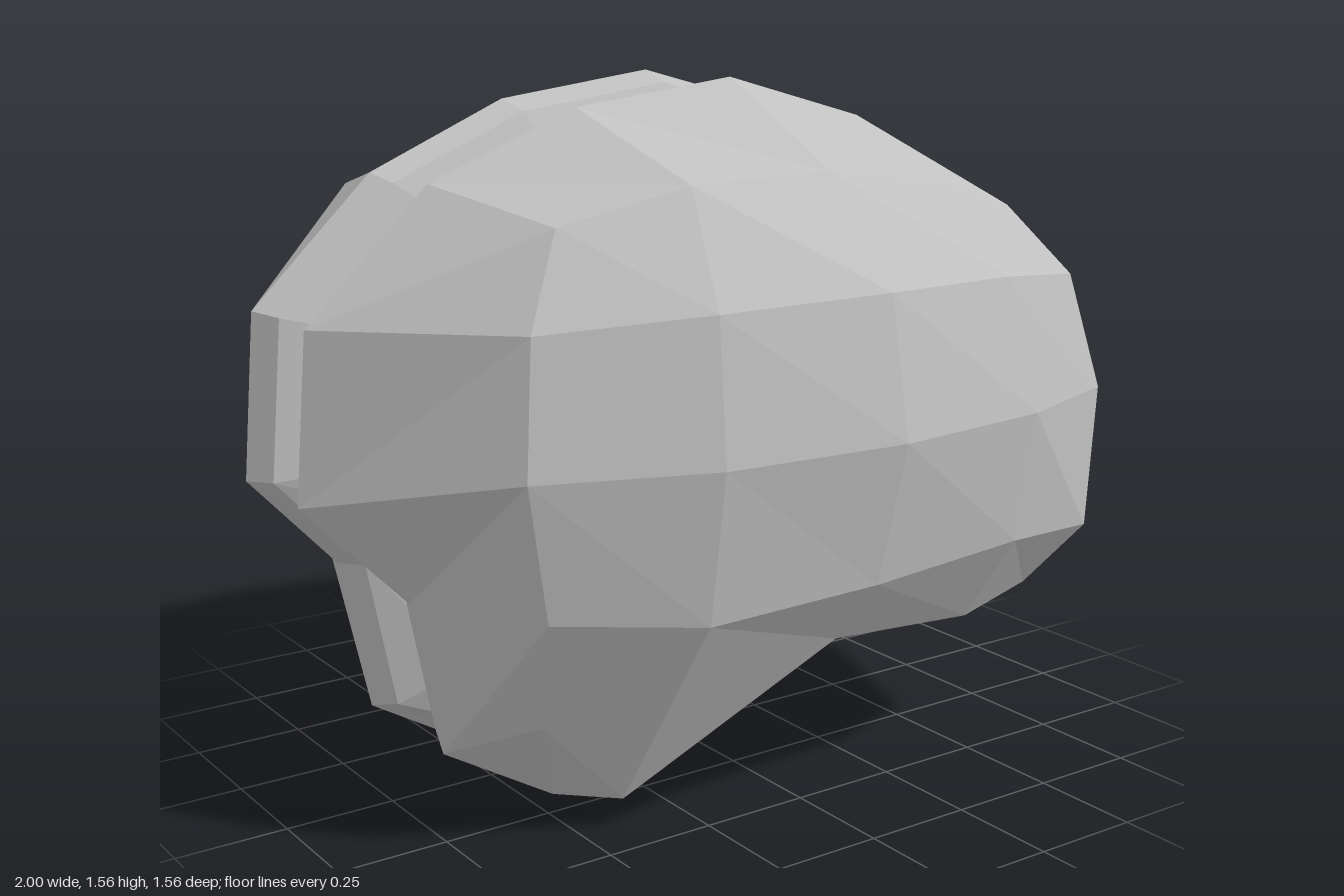
import * as THREE from 'three';

// Outer side of one hemisphere: five rows from top to bottom, five columns along x
const ROWS = [
  [[-0.59, 1.31, 0.46], [-0.32, 1.38, 0.53], [0.04, 1.385, 0.52], [0.41, 1.34, 0.46], [0.66, 1.26, 0.40]],
  [[-0.69, 1.12, 0.53], [-0.36, 1.15, 0.68], [0.04, 1.16, 0.72], [0.42, 1.15, 0.66], [0.74, 1.11, 0.53]],
  [[-0.72, 0.84, 0.56], [-0.37, 0.85, 0.72], [0.04, 0.86, 0.78], [0.45, 0.86, 0.73], [0.79, 0.85, 0.585]],
  [[-0.66, 0.54, 0.53], [-0.37, 0.52, 0.67], [0.02, 0.55, 0.72], [0.43, 0.57, 0.70], [0.75, 0.53, 0.60]],
  [[-0.60, 0.27, 0.40], [-0.41, 0.07, 0.41], [0.01, 0.40, 0.60], [0.42, 0.36, 0.56], [0.66, 0.38, 0.50]],
];

// Crest of the hemisphere, clockwise from the upper left corner
const CREST = [
  [-0.69, 1.37, 0.13], [-0.35, 1.51, 0.155], [0.04, 1.56, 0.165], [0.41, 1.46, 0.155],
  [0.71, 1.31, 0.15], [0.92, 1.12, 0.16], [1.0, 0.85, 0.19], [0.90, 0.56, 0.24],
  [0.74, 0.33, 0.17], [0.52, 0.22, 0.17], [0.06, 0.31, 0.17], [-0.44, 0.0, 0.17],
  [-0.71, 0.16, 0.17], [-0.78, 0.51, 0.17], [-1.0, 0.74, 0.13], [-0.97, 1.10, 0.13],
];

const CENTRE_Y = 0.85;
const shrink = (ring, s, zs) =>
  ring.map(([x, y, z]) => [x * s, CENTRE_Y + (y - CENTRE_Y) * s, z * zs]);

// Border of the row grid, in the same order as the crest
function gridBorder() {
  const right = [1, 2, 3].map((r) => ROWS[r][4]);
  const left = [3, 2, 1].map((r) => ROWS[r][0]);
  return [...ROWS[0], ...right, ...[...ROWS[4]].reverse(), ...left];
}

// Quads joining two closed loops
function band(inner, outer) {
  return inner.map((p, i) => {
    const j = (i + 1) % inner.length;
    return [outer[i], p, inner[j], outer[j]];
  });
}

// Faceted geometry from quads; side = -1 mirrors across z and flips the winding
function quadGeometry(quads, side) {
  const positions = [];
  for (const [a, b, c, d] of quads) {
    const corners = side > 0 ? [a, b, c, a, c, d] : [a, c, b, a, d, c];
    for (const [x, y, z] of corners) positions.push(x, y, z * side);
  }
  const geometry = new THREE.BufferGeometry();
  geometry.setAttribute('position', new THREE.Float32BufferAttribute(positions, 3));
  geometry.computeVertexNormals();
  return geometry;
}

export function createModel() {
  const grey = new THREE.MeshStandardMaterial({ color: 0xc0c0c0, flatShading: true });
  grey.name = 'grey';

  // Inner rim and the bottom of the fissure, which meets the other half at z = 0
  const rim = shrink(CREST, 0.965, 0.52);
  const fissure = shrink(CREST, 0.72, 0);
  rim[11] = [-0.43, 0.045, 0.085];
  fissure[11] = [-0.42, 0.09, 0];
  fissure[12] = [-0.55, 0.27, 0];

  const sideQuads = [];
  for (let r = 0; r < 4; r++) {
    for (let c = 0; c < 4; c++) {
      sideQuads.push([ROWS[r][c], ROWS[r + 1][c], ROWS[r + 1][c + 1], ROWS[r][c + 1]]);
    }
  }

  const parts = {
    outerLobe: [...sideQuads, ...band(gridBorder(), CREST)],
    crestRim: band(CREST, rim),
    fissureWall: band(rim, fissure),
  };

  const brain = new THREE.Group();
  brain.name = 'brain';
  for (const side of [1, -1]) {
    const hemisphere = new THREE.Group();
    hemisphere.name = side > 0 ? 'frontHemisphere' : 'backHemisphere';
    for (const [name, quads] of Object.entries(parts)) {
      const mesh = new THREE.Mesh(quadGeometry(quads, side), grey);
      mesh.name = name;
      hemisphere.add(mesh);
    }
    brain.add(hemisphere);
  }
  return brain;
}
